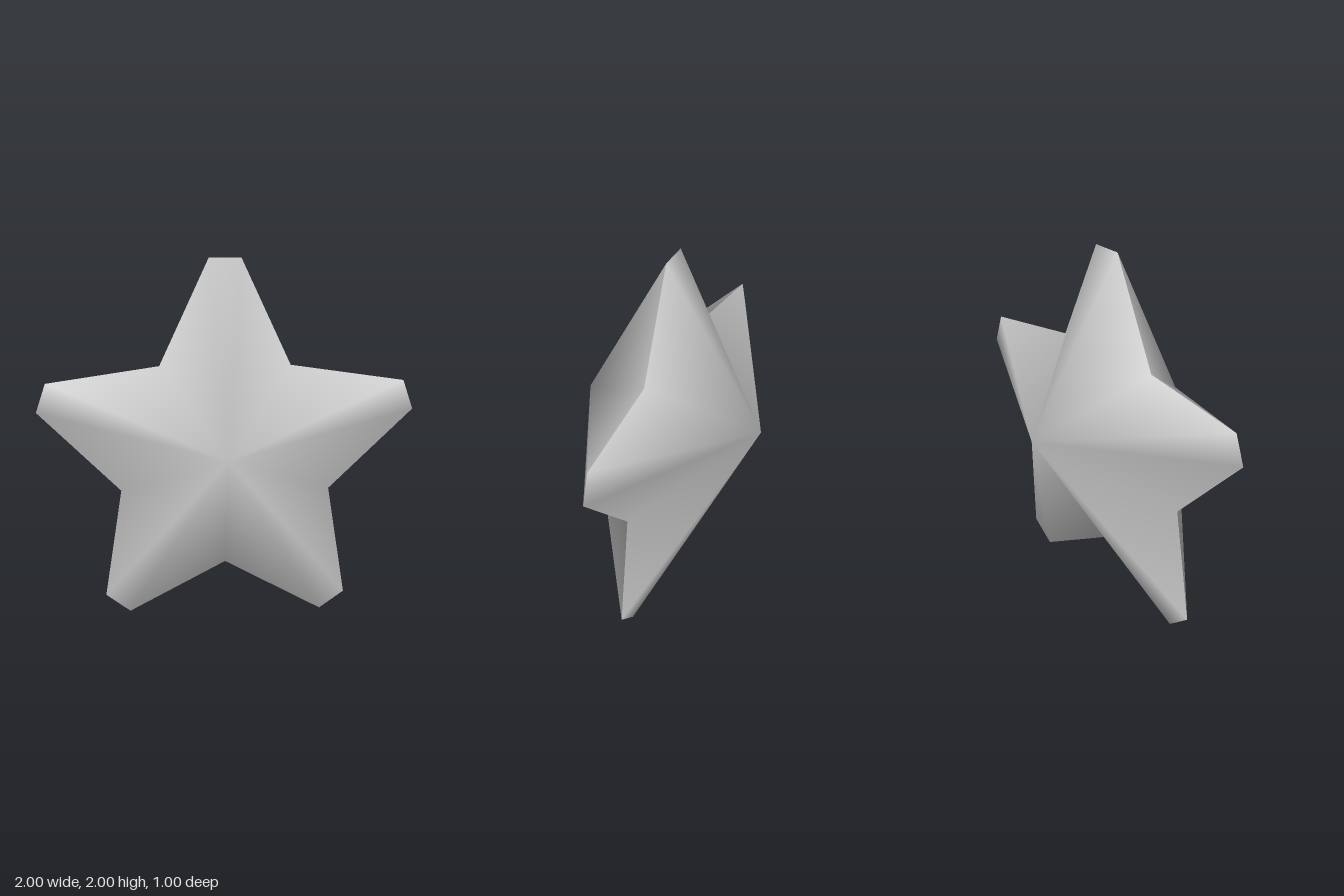
import * as THREE from 'three';

// Right half of the star outline, clockwise from the top tip
const HALF = [
  [0.083, 2], [0.345, 1.43], [0.945, 1.34], [1, 1.18],
  [0.563, 0.73], [0.665, 0.103], [0.533, 0],
];
const CENTRE_Y = 1.08;
const DEPTH = 0.5;

// Fan from a raised centre to the flat outline, smooth across its ridges
function starHalf(outline, side) {
  const positions = [0, CENTRE_Y, side * DEPTH];
  outline.forEach(([x, y]) => positions.push(x, y, 0));
  const index = [];
  const n = outline.length;
  for (let i = 0; i < n; i++) {
    const a = 1 + i;
    const b = 1 + ((i + 1) % n);
    if (side > 0) index.push(0, b, a);
    else index.push(0, a, b);
  }
  const geometry = new THREE.BufferGeometry();
  geometry.setAttribute('position', new THREE.Float32BufferAttribute(positions, 3));
  geometry.setIndex(index);
  geometry.computeVertexNormals();
  return geometry;
}

export function createModel() {
  const group = new THREE.Group();
  group.name = 'star';
  const grey = new THREE.MeshStandardMaterial({ color: 0xcccccc });
  grey.name = 'light grey';

  // Full outline: right half, bottom notch, mirrored left half
  const mirrored = HALF.map(([x, y]) => [-x, y]).reverse();
  const outline = [...HALF, [0, 0.3], ...mirrored];

  // Separate halves keep the rim sharp
  for (const [name, side] of [['frontHalf', 1], ['backHalf', -1]]) {
    const mesh = new THREE.Mesh(starHalf(outline, side), grey);
    mesh.name = name;
    group.add(mesh);
  }
  return group;
}
